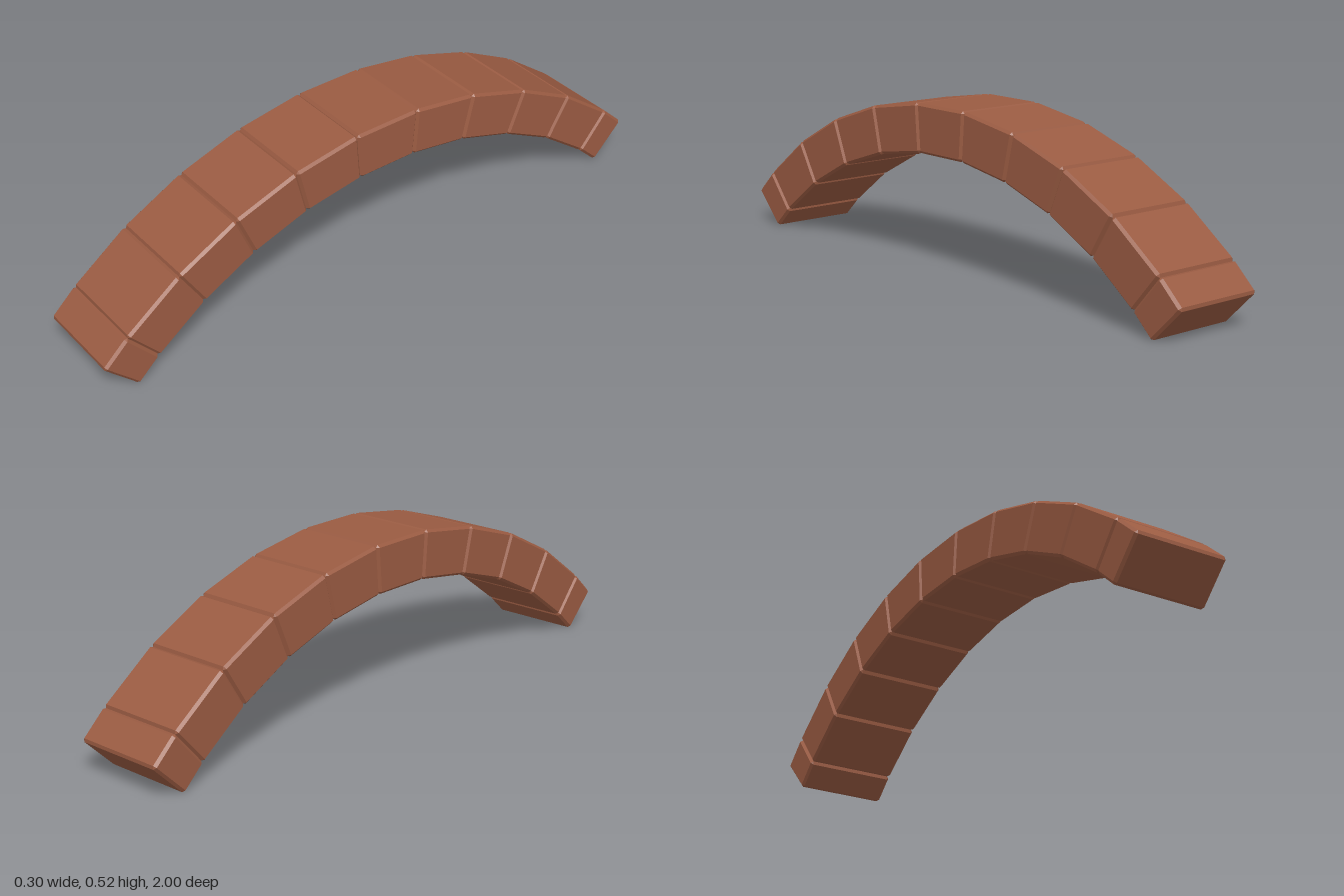
import * as THREE from 'three';
import { ConvexGeometry } from 'three/addons/geometries/ConvexGeometry.js';

const OUTER = 1.4205, INNER = 1.266, CENTRE_Y = -0.9;
const HALF_WIDTH = 0.148, BEVEL = 0.008;
const STEP = THREE.MathUtils.degToRad(9);

// Wedge-shaped brick between two angles from the vertical, with every edge chamfered
function brickGeometry(a0, a1) {
  const at = (x, r, a) => new THREE.Vector3(x, CENTRE_Y + r * Math.cos(a), r * Math.sin(a));
  const points = [];
  for (const x of [-HALF_WIDTH, HALF_WIDTH])
    for (const [r, otherR] of [[INNER, OUTER], [OUTER, INNER]])
      for (const [a, otherA] of [[a0, a1], [a1, a0]]) {
        const corner = at(x, r, a);
        // inward steps along the three edges that meet at this corner
        const steps = [at(-x, r, a), at(x, otherR, a), at(x, r, otherA)]
          .map((p) => p.sub(corner).setLength(BEVEL));
        for (let i = 0; i < 3; i++)
          points.push(corner.clone().add(steps[i]).add(steps[(i + 1) % 3]));
      }
  return new ConvexGeometry(points);
}

export function createModel() {
  const arch = new THREE.Group();
  arch.name = 'brickArch';
  const brick = new THREE.MeshStandardMaterial({ color: 0x9a5b42 });
  brick.name = 'redBrick';

  const addBrick = (name, from, to) => {
    const mesh = new THREE.Mesh(brickGeometry(from * STEP, to * STEP), brick);
    mesh.name = name;
    arch.add(mesh);
  };

  // Nine full bricks across the span
  for (let i = -4; i <= 4; i++)
    addBrick(i === 0 ? 'keyBrick' : `archBrick${i + 5}`, i - 0.5, i + 0.5);

  // Half bricks at the two feet
  addBrick('frontHalfBrick', 4.5, 5);
  addBrick('backHalfBrick', -5, -4.5);

  return arch;
}
